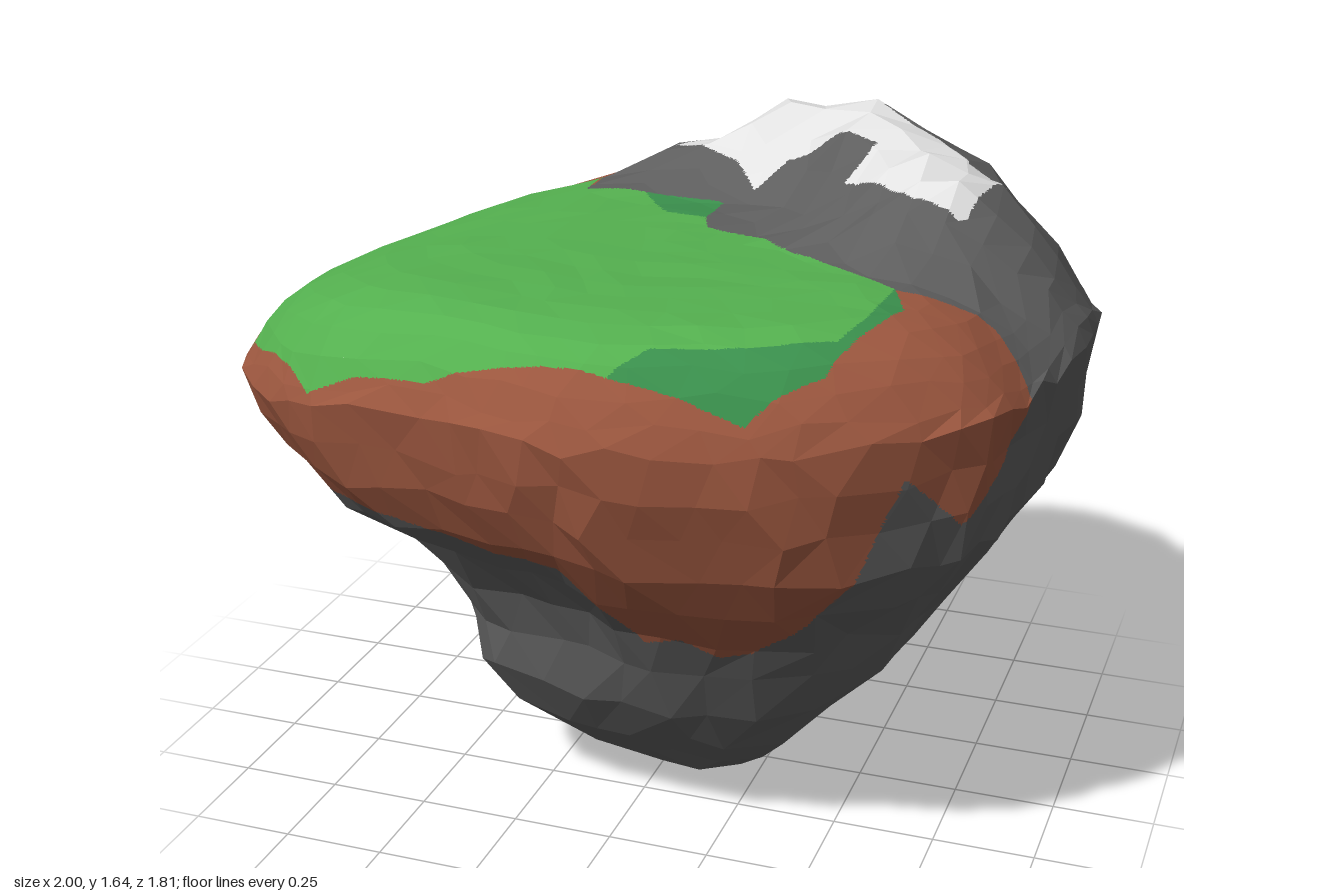
import * as THREE from 'three';

const { lerp, smoothstep, clamp } = THREE.MathUtils;

// Widest outline of the island seen from above (x, z), counter-clockwise
const OUTLINE = [
  [1, -0.1], [0.98, -0.3], [0.88, -0.47], [0.66, -0.7], [0.36, -0.86], [0.12, -0.9], [-0.1, -0.87], [-0.35, -0.75],
  [-0.63, -0.61], [-0.84, -0.3], [-0.9, -0.1], [-1, 0.22], [-0.95, 0.45], [-0.8, 0.63], [-0.6, 0.76], [-0.3, 0.83],
  [-0.1, 0.88], [0.1, 0.9], [0.35, 0.85], [0.55, 0.8], [0.8, 0.63], [0.9, 0.5], [0.94, 0.33], [0.98, 0.1],
];
// Underside levels: y, xMin, xMax, zMin, zMax
const LEVELS = [
  [0.035, -0.04, 0.22, -0.07, 0.17], [0.11, -0.21, 0.31, -0.21, 0.25], [0.23, -0.38, 0.4, -0.3, 0.38],
  [0.36, -0.44, 0.53, -0.35, 0.49], [0.5, -0.54, 0.68, -0.42, 0.56], [0.62, -0.64, 0.76, -0.53, 0.62],
  [0.75, -0.73, 0.85, -0.66, 0.74], [0.87, -0.82, 0.93, -0.72, 0.82], [0.98, -0.91, 0.97, -0.83, 0.86],
  [1.08, -0.97, 0.98, -0.9, 0.89], [1.18, -1, 1, -0.9, 0.9],
];
// Inward scales of the rings that close the top
const CAP = [0.98, 0.945, 0.9, 0.84, 0.76, 0.67, 0.58, 0.49, 0.4, 0.3, 0.2, 0.1];
// Mountain ridge: x, z, height above the meadow
const RIDGE = [
  [-0.1, -0.63, 0.13], [0.08, -0.64, 0.18], [0.17, -0.6, 0.24], [0.34, -0.54, 0.26], [0.5, -0.3, 0.22],
  [0.63, -0.13, 0.19],
];

// Colour regions seen from above (x, z)
const MEADOW = [
  [-0.97, 0.27], [-0.85, 0], [-0.75, -0.3], [-0.62, -0.43], [-0.37, -0.47], [-0.36, -0.32], [-0.15, -0.29],
  [0.03, -0.27], [0.03, -0.13], [0.06, -0.05], [0.2, 0], [0.33, 0.11], [0.61, 0.28], [0.66, 0.4], [0.57, 0.7],
  [0.43, 0.81], [0.15, 0.82], [-0.3, 0.8], [-0.62, 0.74], [-0.85, 0.53], [-0.95, 0.4],
];
const DARK_GRASS = [
  [[0.61, 0.27], [0.7, 0.35], [0.62, 0.8], [0.1, 0.85], [0.2, 0.75], [0.42, 0.69], [0.57, 0.61], [0.6, 0.48]],
  [[-0.2, -0.31], [0.05, -0.28], [0.04, -0.13], [-0.08, -0.15]],
  [[-0.87, -0.02], [-0.76, -0.31], [-0.74, -0.24], [-0.81, -0.04]],
];
const SNOW = [
  [-0.2, -0.57], [-0.1, -0.68], [0.05, -0.73], [0.2, -0.68], [0.34, -0.69], [0.38, -0.5], [0.55, -0.36],
  [0.62, -0.28], [0.66, -0.22], [0.75, -0.25], [0.7, 0.01], [0.57, -0.02], [0.37, -0.16], [0.42, -0.27],
  [0.3, -0.35], [0.17, -0.36], [0.1, -0.3], [0.02, -0.41], [-0.08, -0.48],
];
const MOUNTAIN = [
  [-0.37, -0.47], [-0.3, -0.57], [-0.2, -0.7], [-0.1, -0.78], [0.12, -0.82], [0.2, -1], [1.2, -1], [1.2, 0.25],
  [0.8, 0.25], [0.61, 0.29], [0, 0.05], [-0.1, -0.2], [-0.34, -0.28],
];
const BACK_SOIL = [
  [-1.1, 0.2], [-0.97, 0.08], [-0.9, -0.08], [-0.85, -0.24], [-0.72, -0.4], [-0.55, -0.5], [-0.37, -0.61],
  [-0.15, -0.82], [-0.1, -0.86], [0.03, -0.85], [0.16, -0.83], [-0.1, -0.7], [-0.3, -0.4], [-0.6, -0.2], [-0.8, 0.25],
];
// Lower edge of the soil at the front: angle in degrees from +x towards +z, y
const SOIL_EDGE = [
  [14, 1.42], [24, 1.08], [33, 0.98], [38, 1.06], [42, 1.12], [46, 0.9], [50, 0.72], [56, 0.6], [62, 0.58],
  [70, 0.63], [78, 0.6], [92, 0.83], [105, 0.82], [122, 0.88], [158, 0.89], [168, 0.98], [178, 1.1], [187, 1.12],
];

function inside(poly, x, z) {
  let hit = false;
  poly.forEach(([x1, z1], i) => {
    const [x2, z2] = poly[(i + 1) % poly.length];
    if ((z1 > z) !== (z2 > z) && x < x1 + ((z - z1) / (z2 - z1)) * (x2 - x1)) hit = !hit;
  });
  return hit;
}

function soilEdge(x, z) {
  const a = (THREE.MathUtils.radToDeg(Math.atan2(z, x)) + 360) % 360;
  for (let i = 1; i < SOIL_EDGE.length; i++) {
    const [a0, y0] = SOIL_EDGE[i - 1], [a1, y1] = SOIL_EDGE[i];
    if (a >= a0 && a < a1) return lerp(y0, y1, (a - a0) / (a1 - a0));
  }
  return 9;
}

// Mountain height above the meadow, with a fuller outer slope
function mountain(x, z) {
  const wide = lerp(1, 0.5, smoothstep(x - z, 0.7, 1));
  let best = 0;
  for (let i = 1; i < RIDGE.length; i++) {
    const [x0, z0, h0] = RIDGE[i - 1], [x1, z1, h1] = RIDGE[i];
    const dx = x1 - x0, dz = z1 - z0;
    const t = clamp(((x - x0) * dx + (z - z0) * dz) / (dx * dx + dz * dz), 0, 1);
    const d = Math.hypot(x - x0 - t * dx, z - z0 - t * dz) * wide;
    best = Math.max(best, lerp(h0, h1, t) * (1 - smoothstep(d, 0.02, 0.37)));
  }
  return best;
}

function partOf({ x, y, z }, onTop) {
  if (onTop) {
    if (inside(SNOW, x, z)) return 'snow';
    if (inside(MEADOW, x, z)) return DARK_GRASS.some((p) => inside(p, x, z)) ? 'darkGrass' : 'grass';
    if (inside(MOUNTAIN, x, z)) return 'rock';
    if (inside(BACK_SOIL, x, z)) return 'soil';
  }
  return y > soilEdge(x, z) ? 'soil' : 'rock';
}

export function createModel() {
  let seed = 7;
  const jitter = () => {
    seed = (seed * 16807) % 2147483647;
    return (seed / 2147483647) * 2 - 1;
  };
  const curve = new THREE.CatmullRomCurve3(OUTLINE.map(([x, z]) => new THREE.Vector3(x, 0, z)), true);
  const rimY = (u) => 1.18 - 0.08 * smoothstep(-u, 0.3, 1) + 0.03 * smoothstep(u, 0, 1);

  // A ring of points, with its count following its size
  const ring = (size, place) => {
    const n = Math.max(7, Math.round((size * 5.8) / 0.11));
    return Array.from({ length: n }, (_, i) => {
      const p = curve.getPoint((((i + 0.25 * jitter()) / n) + 1) % 1);
      return place(p.x, p.z / 0.9);
    });
  };

  const rings = [[new THREE.Vector3(0.12, 0, 0.08)]];
  // Underside: squarer at the foot, hollow at the front left, fuller at the back left
  LEVELS.forEach(([y, x0, x1, z0, z1], k) => {
    const rim = k === LEVELS.length - 1;
    const band = smoothstep(y, 0.1, 0.35) * (1 - smoothstep(y, 0.7, 0.95));
    rings.push(ring((x1 - x0 + z1 - z0) / 3.8, (u, v) => {
      const hollow = 0.1 * smoothstep(v - u, 0.7, 1.3) * smoothstep(y, 0.3, 0.5) * band;
      const full = 0.1 * smoothstep(-u - v, 0.8, 1.25) * band;
      const square = 0.35 * u * u * v * v * (1 - smoothstep(y, 0.2, 0.6));
      const s = (1 - hollow + full + square) * (1 + (rim ? 0.005 : 0.013) * jitter());
      const f = (y / 1.18) ** 3;
      return new THREE.Vector3(
        (x0 + x1) / 2 + (s * u * (x1 - x0)) / 2,
        y + f * (rimY(u) - 1.18) + (k ? 0.018 : 0.006) * jitter(),
        (z0 + z1) / 2 + (s * v * (z1 - z0)) / 2);
    }));
  });
  const rimIndex = rings.length - 1;
  // Top: rim, sharper at the front and rounder behind the mountain, then the meadow
  const topPoint = (u, v, s) => {
    const x = u * s, z = v * s * 0.9, m = mountain(x, z);
    const h = 1.4 + 0.02 * x - 0.05 * smoothstep(-x, 0.3, 0.9) + m;
    const power = 7.5 - 1.8 * smoothstep(u - v, 0, 0.9) + 5 * smoothstep(v, 0.2, 0.9);
    const y = lerp(rimY(u), h, 1 - s ** power);
    return new THREE.Vector3(x, y + jitter() * (0.003 + 0.08 * m), z);
  };
  CAP.forEach((s) => rings.push(ring(s, (u, v) => topPoint(u, v, s * (1 + 0.008 * jitter())))));
  rings.push([topPoint(0, 0, 0)]);

  // Sort each facet into its part, dividing those that a colour border crosses
  const parts = { rock: [], soil: [], grass: [], darkGrass: [], snow: [] };
  const face = (a, b, c, onTop, depth = 4) => {
    const ab = a.clone().lerp(b, 0.5), bc = b.clone().lerp(c, 0.5), ca = c.clone().lerp(a, 0.5);
    const middle = a.clone().add(b).add(c).divideScalar(3);
    const part = partOf(middle, onTop);
    if (depth === 0 || [a, b, c, ab, bc, ca].every((p) => partOf(p, onTop) === part)) {
      parts[part].push(a, b, c);
      return;
    }
    [[a, ab, ca], [ab, b, bc], [ca, bc, c], [ab, bc, ca]].forEach((t) => face(...t, onTop, depth - 1));
  };
  // Stitch neighbouring rings
  for (let k = 1; k < rings.length; k++) {
    const A = rings[k - 1], B = rings[k], onTop = k > rimIndex;
    const na = A.length, nb = B.length;
    const ca = na > 1 ? na : 0, cb = nb > 1 ? nb : 0;
    for (let i = 0, j = 0; i < ca || j < cb;) {
      if (j >= cb || (i < ca && (i + 1) / na <= (j + 1) / nb)) {
        face(A[i % na], A[(i + 1) % na], B[j % nb], onTop);
        i++;
      } else {
        face(A[i % na], B[(j + 1) % nb], B[j % nb], onTop);
        j++;
      }
    }
  }

  const colours = { rock: 0x5e5e5e, soil: 0x9c573f, grass: 0x54b04f, darkGrass: 0x3a8f4c, snow: 0xe2e2e2 };
  const group = new THREE.Group();
  group.name = 'floatingIsland';
  for (const [name, points] of Object.entries(parts)) {
    const geometry = new THREE.BufferGeometry().setFromPoints(points);
    geometry.computeVertexNormals();
    const material = new THREE.MeshStandardMaterial({ color: colours[name] });
    material.name = name;
    const mesh = new THREE.Mesh(geometry, material);
    mesh.name = name;
    group.add(mesh);
  }
  return group;
}
